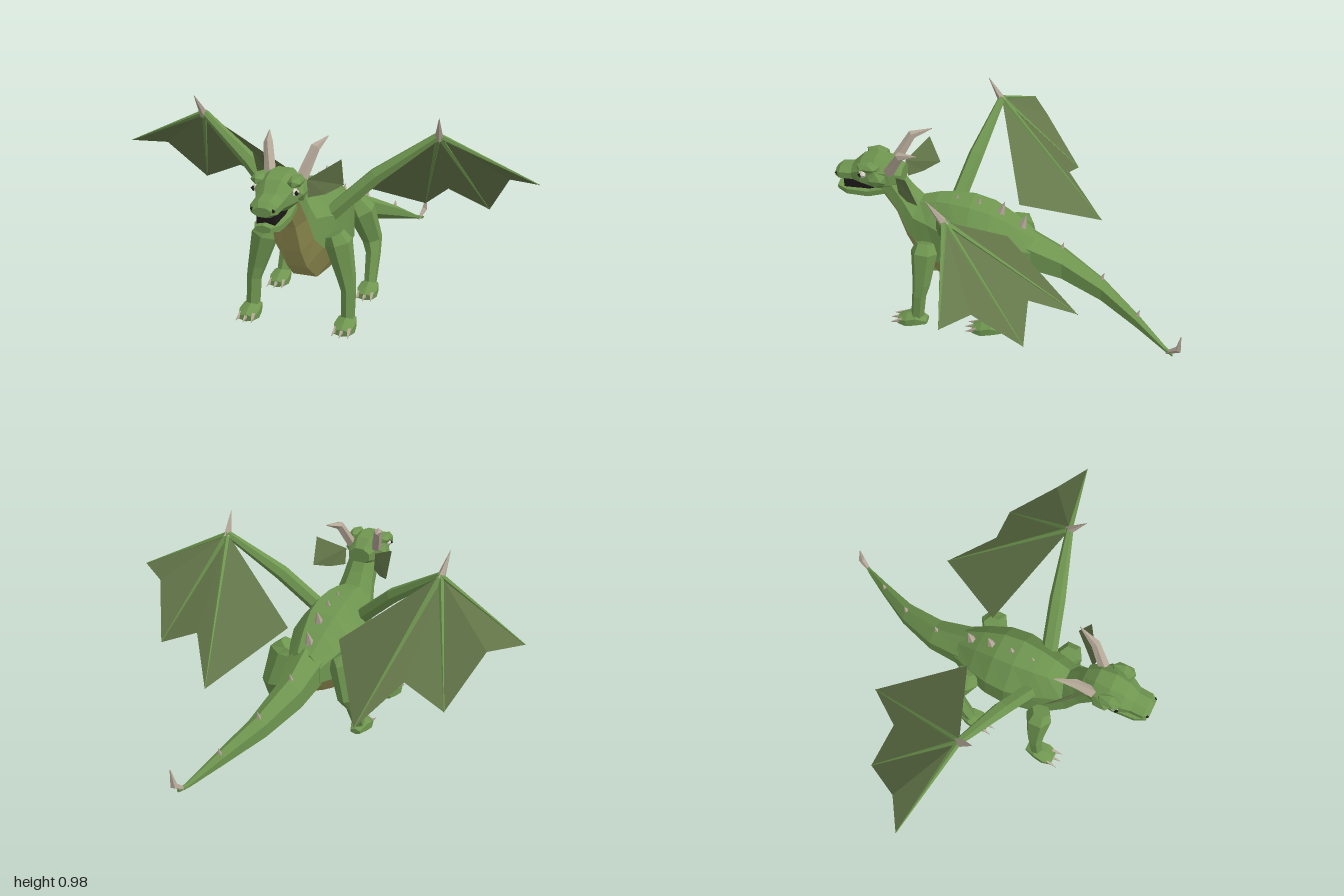
import * as THREE from 'three';

const material = (name, color, extra = {}) => {
  const m = new THREE.MeshStandardMaterial({ color, ...extra });
  m.name = name;
  return m;
};

export function createModel() {
  const green = material('scale green', 0x6f9650);
  const belly = material('belly olive', 0x9c9858);
  const membrane = material('wing membrane', 0x65784a, { side: THREE.DoubleSide });
  const bone = material('horn bone', 0xb5a898);
  const dark = material('mouth dark', 0x1c1a18);
  const white = material('eye white', 0xd8d4c8);

  const root = new THREE.Group();
  root.name = 'dragon';
  const V = (p) => new THREE.Vector3(p[0], p[1], p[2]);
  const add = (name, geometry, mat, parent = root) => {
    const mesh = new THREE.Mesh(geometry, mat);
    mesh.name = name;
    parent.add(mesh);
    return mesh;
  };
  const group = (name) => {
    const g = new THREE.Group();
    g.name = name;
    root.add(g);
    return g;
  };
  const facets = (points) => new THREE.BufferGeometry().setFromPoints(points);

  // Faceted skin over rings of points; lower faces can form a second group
  function skin(rings, isUnder = () => false) {
    const upper = [], under = [], n = rings[0].length;
    for (let i = 0; i < rings.length - 1; i++)
      for (let j = 0; j < n; j++) {
        const k = (j + 1) % n, a = rings[i], b = rings[i + 1];
        (isUnder(j) ? under : upper).push(a[j], a[k], b[k], a[j], b[k], b[j]);
      }
    const first = rings[0], last = rings[rings.length - 1];
    for (let j = 1; j < n - 1; j++)
      upper.push(first[0], first[j + 1], first[j], last[0], last[j], last[j + 1]);
    const g = facets([...upper, ...under]);
    g.addGroup(0, upper.length, 0);
    g.addGroup(upper.length, under.length, 1);
    g.computeVertexNormals();
    return g;
  }

  // Sections: x, top z, top y, bottom z, bottom y, half width
  const sections = (rows, n = 8) => rows.map(([x, zt, yt, zb, yb, w]) =>
    Array.from({ length: n }, (_, j) => {
      const a = ((j + 0.5) / n) * Math.PI * 2, s = Math.sin(a) / Math.cos(Math.PI / n);
      const t = (s + 1) / 2;
      return new THREE.Vector3(x + (Math.cos(a) * w) / Math.cos(Math.PI / n),
        yb + (yt - yb) * t, zb + (zt - zb) * t);
    }));

  // Limb along points x, y, z, radius
  function limb(points, n = 6) {
    const c = points.map(V);
    return skin(c.map((p, i) => {
      const t = c[Math.min(i + 1, c.length - 1)].clone().sub(c[Math.max(i - 1, 0)]).normalize();
      const ref = Math.abs(t.z) > 0.8 ? new THREE.Vector3(0, 1, 0) : new THREE.Vector3(0, 0, 1);
      const u = ref.cross(t).normalize(), v = t.clone().cross(u);
      return Array.from({ length: n }, (_, j) => {
        const a = ((j + 0.5) / n) * Math.PI * 2, r = points[i][3];
        return p.clone().addScaledVector(u, Math.cos(a) * r).addScaledVector(v, Math.sin(a) * r);
      });
    }));
  }
  const flip = (points, s) => points.map(([x, ...rest]) => [x * s, ...rest]);

  // Torso and neck with an olive underside
  add('body', skin(sections([
    [0, -0.1, 0.47, -0.1, 0.28, 0.085],
    [0, 0.0, 0.54, 0.0, 0.235, 0.125],
    [0, 0.1, 0.595, 0.1, 0.2, 0.155],
    [0, 0.2, 0.62, 0.21, 0.19, 0.162],
    [0, 0.3, 0.625, 0.36, 0.205, 0.14],
    [0, 0.37, 0.62, 0.47, 0.3, 0.115],
    [0, 0.45, 0.6, 0.525, 0.4, 0.095],
    [0, 0.5, 0.655, 0.57, 0.53, 0.08],
    [0, 0.56, 0.74, 0.65, 0.65, 0.07],
  ]), (j) => j >= 4 && j <= 6), [green, belly]);

  // Tail curving to the left
  add('tail', skin(sections([
    [0.27, -0.82, 0.075, -0.82, 0.06, 0.007],
    [0.245, -0.78, 0.09, -0.78, 0.07, 0.012],
    [0.165, -0.64, 0.185, -0.64, 0.12, 0.026],
    [0.065, -0.45, 0.295, -0.45, 0.185, 0.045],
    [0.005, -0.25, 0.395, -0.25, 0.245, 0.066],
    [0, -0.08, 0.48, -0.08, 0.28, 0.085],
  ], 6)), green);
  add('tailSpike', limb([[0.255, 0.065, -0.79, 0.008], [0.275, 0.11, -0.845, 0.017],
    [0.285, 0.195, -0.85, 0.002]], 4), bone);

  // Spikes along the spine: x, y, z, height
  [[0, 0.61, 0.28, 0.035], [0, 0.605, 0.17, 0.04], [0, 0.56, 0.065, 0.075],
    [0, 0.5, -0.04, 0.075], [0, 0.385, -0.23, 0.055], [0.06, 0.285, -0.44, 0.05],
    [0.16, 0.175, -0.63, 0.045]].forEach(([x, y, z, h]) =>
    add('spineSpike', limb([[x, y, z, h * 0.33], [x, y + h, z - h * 0.3, 0.001]], 5), bone));

  // Head
  const head = group('head');
  add('skull', skin(sections([
    [0, 0.53, 0.77, 0.53, 0.69, 0.055],
    [0, 0.585, 0.81, 0.585, 0.655, 0.08],
    [0, 0.66, 0.82, 0.66, 0.65, 0.092],
    [0, 0.73, 0.805, 0.73, 0.665, 0.082],
    [0, 0.78, 0.76, 0.77, 0.68, 0.062],
    [0, 0.84, 0.75, 0.84, 0.68, 0.06],
    [0, 0.865, 0.73, 0.865, 0.69, 0.04],
  ])), green, head);
  add('lowerJaw', skin(sections([
    [0, 0.6, 0.68, 0.6, 0.635, 0.06],
    [0, 0.7, 0.65, 0.7, 0.605, 0.062],
    [0, 0.81, 0.648, 0.81, 0.603, 0.056],
    [0, 0.86, 0.65, 0.86, 0.62, 0.035],
  ], 6)), green, head);
  add('mouth', new THREE.BoxGeometry(0.08, 0.05, 0.15), dark, head).position.set(0, 0.665, 0.75);

  for (const s of [1, -1]) {
    const side = s > 0 ? 'left' : 'right';

    // Face details
    const brow = add(side + 'Brow', new THREE.IcosahedronGeometry(1, 0), green, head);
    brow.scale.set(0.035, 0.025, 0.065);
    brow.position.set(s * 0.08, 0.79, 0.68);
    const cheek = add(side + 'Cheek', new THREE.IcosahedronGeometry(1, 0), green, head);
    cheek.scale.set(0.035, 0.045, 0.055);
    cheek.position.set(s * 0.08, 0.73, 0.645);
    const eye = add(side + 'Eye', new THREE.IcosahedronGeometry(0.02, 0), white, head);
    eye.position.set(s * 0.083, 0.752, 0.71);
    const pupil = add(side + 'Pupil', new THREE.OctahedronGeometry(0.012), dark, head);
    pupil.position.set(s * 0.095, 0.752, 0.721);
    const nostril = add(side + 'Nostril', new THREE.OctahedronGeometry(0.01), dark, head);
    nostril.position.set(s * 0.045, 0.718, 0.856);
    add(side + 'Horn', limb(flip([[0.07, 0.77, 0.585, 0.027], [0.105, 0.885, 0.515, 0.022],
      [0.135, 0.912, 0.425, 0.002]], s), 5), bone, head);

    // Ear frill
    const f = flip([[0.08, 0.75, 0.55], [0.205, 0.825, 0.46], [0.2, 0.69, 0.41],
      [0.14, 0.665, 0.48], [0.08, 0.665, 0.54]], s).map(V);
    const frill = facets([0, 2, 1, 0, 3, 2, 0, 4, 3].map((i) => f[i]));
    frill.computeVertexNormals();
    add(side + 'Frill', frill, membrane, head);

    // Wing: arm, finger bones, claw and membrane fan
    const wing = group(side + 'Wing');
    const wrist = [0.56, 0.88, 0.18];
    add('wingArm', limb(flip([[0.09, 0.49, 0.32, 0.04], [0.3, 0.69, 0.255, 0.038],
      [...wrist, 0.018]], s)), green, wing);
    add('wingClaw', limb(flip([[0.56, 0.865, 0.175, 0.022], [0.575, 0.98, 0.25, 0.001]], s), 5),
      bone, wing);
    const rim = [[1, 0.67, 0.09], [0.855, 0.645, -0.005], [0.74, 0.41, -0.2],
      [0.54, 0.5, -0.18], [0.385, 0.33, -0.38], [0.135, 0.535, 0]];
    [0, 2, 4].forEach((i) => add('wingFinger',
      limb(flip([[...wrist, 0.014], [...rim[i], 0.002]], s), 5), green, wing));
    const fan = [];
    for (let i = 0; i < rim.length - 1; i++)
      fan.push(...flip([wrist, rim[i], rim[i + 1]], s).map(V));
    const sheet = facets(fan);
    sheet.computeVertexNormals();
    add('wingMembrane', sheet, membrane, wing);

    // Legs, feet and claws
    const legs = {
      FrontLeg: [[0.155, 0.45, 0.4, 0.045], [0.175, 0.41, 0.4, 0.065], [0.215, 0.25, 0.41, 0.044],
        [0.228, 0.19, 0.42, 0.035], [0.23, 0.05, 0.435, 0.032]],
      HindLeg: [[0.13, 0.45, 0.0, 0.045], [0.16, 0.41, 0.0, 0.07], [0.205, 0.25, -0.04, 0.05],
        [0.22, 0.19, -0.005, 0.037], [0.225, 0.05, 0.06, 0.03]],
    };
    for (const [name, path] of Object.entries(legs)) {
      const leg = group(side + name);
      add('leg', limb(flip(path, s)), green, leg);
      const [x, , z] = path[4];
      add('foot', skin(sections([
        [s * x, z - 0.05, 0.05, z - 0.05, 0.025, 0.025],
        [s * x, z, 0.078, z, 0.012, 0.042],
        [s * x, z + 0.05, 0.065, z + 0.05, 0.005, 0.048],
        [s * x, z + 0.095, 0.045, z + 0.095, 0.015, 0.036],
      ], 6)), green, leg);
      for (const k of [-1, 0, 1]) {
        const cx = s * x + k * 0.03, cz = z + 0.08 - Math.abs(k) * 0.008;
        add('claw', limb([[cx, 0.04, cz, 0.013], [cx + k * 0.008, 0.026, cz + 0.055, 0.001]], 4),
          bone, leg);
      }
    }
  }
  return root;
}
